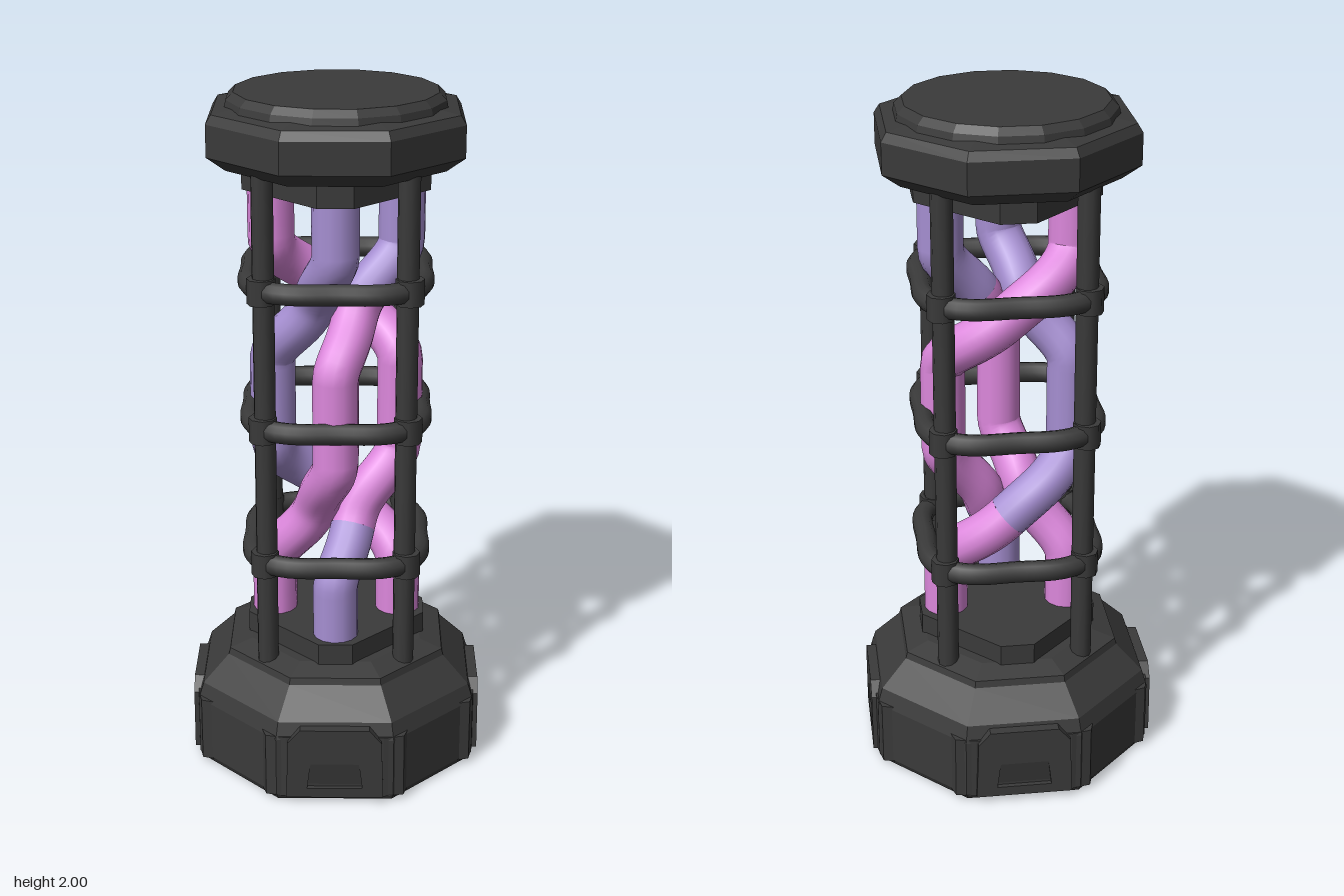
import * as THREE from 'three';

const material = (name, color) => {
  const m = new THREE.MeshStandardMaterial({ color });
  m.name = name;
  return m;
};

// One strand of the twisted bundle: straight at each end and in the middle,
// making a pinched turn at two heights.
class StrandCurve extends THREE.Curve {
  constructor([start, middle, end], y0, y1) {
    super();
    Object.assign(this, { start, middle, end, y0, y1 });
  }
  getPoint(t, target = new THREE.Vector3()) {
    const y = THREE.MathUtils.lerp(this.y0, this.y1, t);
    const a = THREE.MathUtils.smoothstep(y, 0.58, 0.97);
    const b = THREE.MathUtils.smoothstep(y, 1.22, 1.58);
    const pinch = Math.max(4 * a * (1 - a), 4 * b * (1 - b));
    const r = 0.184 - 0.095 * pinch;
    const degrees = this.start + a * (this.middle - this.start) + b * (this.end - this.middle);
    const angle = THREE.MathUtils.degToRad(degrees);
    return target.set(r * Math.sin(angle), y, r * Math.cos(angle));
  }
}

// Cage ring: widest at the four bars, drawn in between them
class RingCurve extends THREE.Curve {
  getPoint(t, target = new THREE.Vector3()) {
    const a = t * Math.PI * 2;
    const r = 0.264 + 0.022 * Math.cos(4 * a);
    return target.set(r * Math.sin(a), 0, r * Math.cos(a));
  }
}

export function createModel() {
  const model = new THREE.Group();
  model.name = 'strandCanister';
  const dark = material('charcoal', 0x3a3a3a);
  const pink = material('pink', 0xdd88dd);
  const violet = material('violet', 0xa68fd2);

  const add = (name, geometry, mat, parent = model) => {
    const mesh = new THREE.Mesh(geometry, mat);
    mesh.name = name;
    parent.add(mesh);
    return mesh;
  };

  // Faceted turned solid; profile radii are measured to the middle of a flat.
  const faceted = (profile, sides) => {
    const k = 1 / Math.cos(Math.PI / sides);
    const points = profile.map(([r, y]) => new THREE.Vector2(r * k, y));
    const g = new THREE.LatheGeometry(points, sides, Math.PI / sides).toNonIndexed();
    g.computeVertexNormals();
    return g;
  };

  const vectors = (pairs) => pairs.map(([x, y]) => new THREE.Vector2(x, y));

  // Upright prism from a floor plan of [x, z] corners
  const prism = (plan, y0, y1) => {
    const shape = new THREE.Shape(vectors(plan.map(([x, z]) => [x, -z])));
    return new THREE.ExtrudeGeometry(shape, { depth: y1 - y0, bevelEnabled: false })
      .rotateX(-Math.PI / 2).translate(0, y0, 0);
  };

  // Octagonal base with a sloped shoulder
  add('base', faceted([[0, 0], [0.4, 0], [0.41, 0.02], [0.41, 0.2], [0.395, 0.25],
    [0.32, 0.33], [0.315, 0.35], [0.25, 0.37], [0, 0.37]], 8), dark);

  // Octagonal cap with a raised round lid
  add('cap', faceted([[0, 1.8], [0.3, 1.8], [0.325, 1.82], [0.35, 1.84], [0.35, 1.93],
    [0.335, 1.955], [0.28, 1.965], [0, 1.965]], 8), dark);
  add('lid', faceted([[0.305, 1.955], [0.3, 1.98], [0.28, 2], [0, 2]], 16), dark);

  // Seats holding both ends of the strands
  const seatPlan = [[0.22, 0.15], [0.15, 0.22], [-0.15, 0.22], [-0.22, 0.15],
    [-0.22, -0.15], [-0.15, -0.22], [0.15, -0.22], [0.22, -0.15]];
  add('lowerSeat', prism(seatPlan, 0.36, 0.43), dark);
  add('upperSeat', prism(seatPlan, 1.73, 1.81), dark);

  // Corner blocks with slotted pads on the four diagonal faces of the base
  const blockGeometry = prism([[-0.212, 0.36], [-0.2, 0.4], [-0.141, 0.413],
    [0.141, 0.413], [0.2, 0.4], [0.212, 0.36]], 0.015, 0.21);
  const padShape = new THREE.Shape(vectors([[-0.141, 0.02], [0.141, 0.02], [0.135, 0.2],
    [0.1, 0.24], [-0.1, 0.24], [-0.135, 0.2]]));
  padShape.holes.push(new THREE.Path(vectors([[-0.08, 0.05], [-0.07, 0.13], [0.07, 0.13], [0.08, 0.05]])));
  const padGeometry = new THREE.ExtrudeGeometry(padShape, { depth: 0.06, bevelEnabled: false });
  const slotGeometry = new THREE.BoxGeometry(0.16, 0.085, 0.004);
  for (let i = 0; i < 4; i++) {
    const pad = new THREE.Group();
    pad.name = 'basePad';
    pad.rotation.y = Math.PI / 4 + i * Math.PI / 2;
    add('cornerBlock', blockGeometry, dark, pad);
    add('padFrame', padGeometry, dark, pad).position.z = 0.367;
    const slot = add('slot', slotGeometry, dark, pad);
    slot.position.set(0, 0.09, 0.417);
    slot.rotation.x = 0.18;
    model.add(pad);
  }

  // Cage: four upright bars with clamps, tied by three rings
  const ringHeights = [0.667, 1.08, 1.485];
  const barGeometry = new THREE.CylinderGeometry(0.031, 0.031, 1.5, 10);
  const clampGeometry = new THREE.CylinderGeometry(0.04, 0.04, 0.072, 8);
  for (let i = 0; i < 4; i++) {
    const a = i * Math.PI / 2;
    const x = Math.sin(a), z = Math.cos(a);
    add('cageBar', barGeometry, dark).position.set(0.28 * x, 1.075, 0.28 * z);
    for (const y of ringHeights) add('barClamp', clampGeometry, dark).position.set(0.288 * x, y, 0.288 * z);
  }
  const ringGeometry = new THREE.TubeGeometry(new RingCurve(), 64, 0.031, 10, true);
  for (const y of ringHeights) add('cageRing', ringGeometry, dark).position.y = y;

  // Three twisted strands: angles at bottom, middle and top in degrees,
  // then the colour pieces as [material, upper end]
  const strands = [
    { angles: [45, 225, 315], pieces: [[pink, 0.77], [violet, 1.78]] },
    { angles: [225, 315, 405], pieces: [[pink, 1.43], [violet, 1.78]] },
    { angles: [-45, 45, 225], pieces: [[violet, 0.73], [pink, 1.78]] },
  ];
  for (const { angles, pieces } of strands) {
    const strand = new THREE.Group();
    strand.name = 'strand';
    let y0 = 0.4;
    for (const [mat, y1] of pieces) {
      const curve = new StrandCurve(angles, y0, y1);
      add('strandPiece', new THREE.TubeGeometry(curve, Math.ceil((y1 - y0) * 60), 0.066, 14), mat, strand);
      y0 = y1;
    }
    model.add(strand);
  }

  return model;
}
